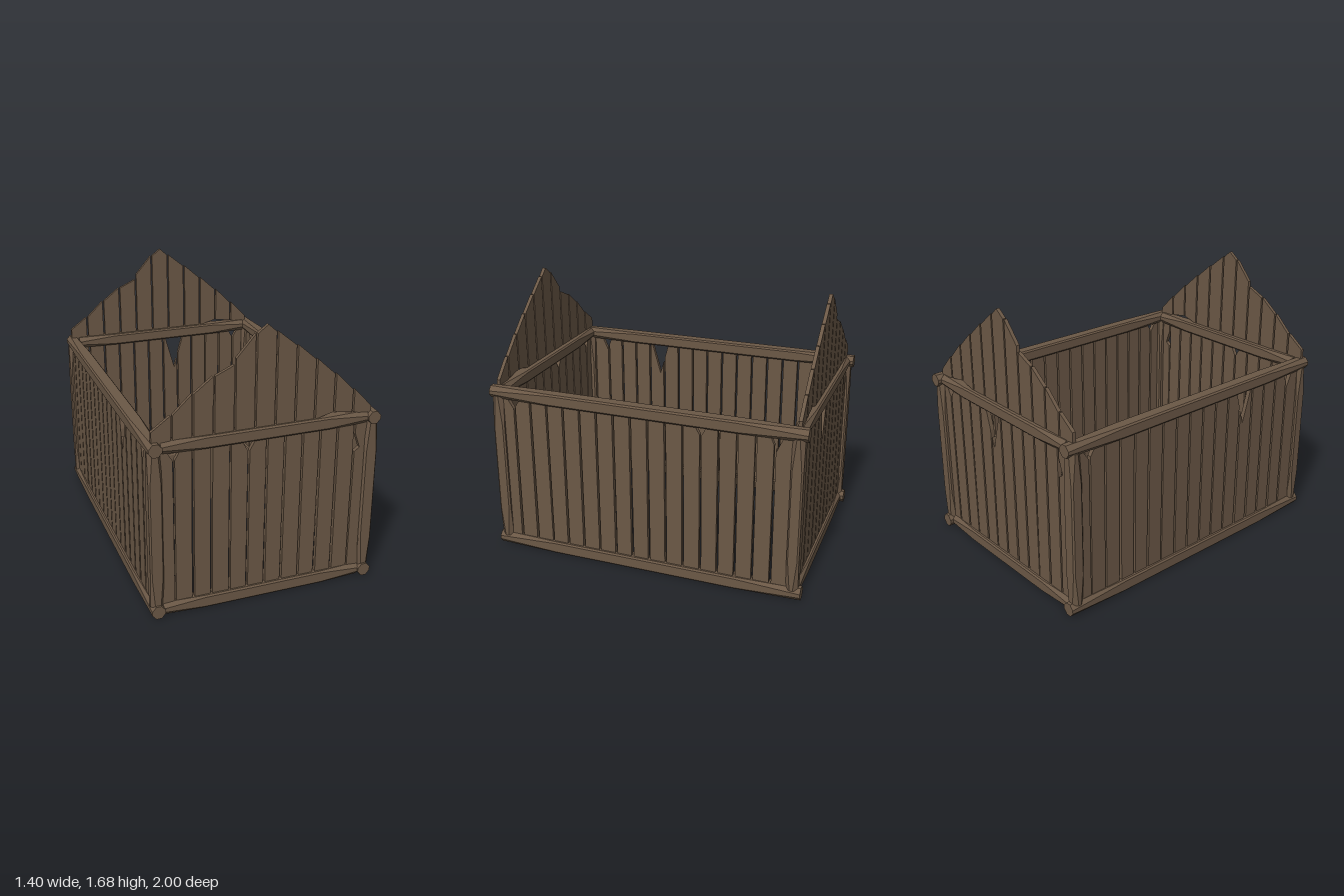
import * as THREE from 'three';

const wood = new THREE.MeshStandardMaterial({ color: 0x6b5846, flatShading: true });

// Small repeatable jitter for the hand-cut plank edges
let seed = 7;
const jitter = (s) => {
  seed = (seed * 16807) % 2147483647;
  return (seed / 2147483647 - 0.5) * s;
};

// Hewn timber along z: octagonal section whose chamfers widen towards both ends
function beam(name, w, h, length) {
  const stations = [[-0.5, 0.028], [-0.3, 0.01], [0.3, 0.01], [0.5, 0.028]];
  const pos = [], index = [];
  for (const [t, c] of stations) {
    const a = w / 2, b = h / 2, k = c * 0.85;
    const ring = [[a, -b + c], [a, b - c], [a - k, b], [-a + k, b],
      [-a, b - c], [-a, -b + c], [-a + k, -b], [a - k, -b]];
    for (const [x, y] of ring) pos.push(x, y, t * length);
  }
  for (let s = 0; s < 3; s++) {
    for (let i = 0; i < 8; i++) {
      const p = s * 8 + i, q = s * 8 + (i + 1) % 8;
      index.push(p, q, q + 8, p, q + 8, p + 8);
    }
  }
  for (let i = 1; i < 7; i++) index.push(0, i + 1, i, 24, 24 + i, 25 + i);
  const g = new THREE.BufferGeometry();
  g.setAttribute('position', new THREE.Float32BufferAttribute(pos, 3));
  g.setIndex(index);
  const flat = g.toNonIndexed();
  flat.computeVertexNormals();
  const mesh = new THREE.Mesh(flat, wood);
  mesh.name = name;
  return mesh;
}

// Flat board from an outline, centred on its thickness
function board(name, outline, thickness) {
  const shape = new THREE.Shape(outline.map(([x, y]) => new THREE.Vector2(x, y)));
  const g = new THREE.ExtrudeGeometry(shape, { depth: thickness, bevelEnabled: false });
  g.translate(0, 0, -thickness / 2);
  const mesh = new THREE.Mesh(g, wood);
  mesh.name = name;
  return mesh;
}

// Row of upright planks; cuts are V notches [centre, half width, lowest y] in the top,
// bites are splits in the left edge of a plank, listed by plank number
function wall(name, start, count, cuts, bites = {}) {
  const group = new THREE.Group();
  group.name = name;
  const pitch = 0.11, gap = 0.006, bottom = 0.05, top = 1.03;
  const topAt = (u) => cuts.reduce(
    (y, [c, hw, low]) => Math.min(y, low + (Math.abs(u - c) / hw) * (top - low)), top);
  for (let i = 0; i < count; i++) {
    const u0 = start + i * pitch + gap, u1 = u0 + pitch - 2 * gap;
    const breaks = cuts.flatMap(([c, hw]) => [c - hw, c, c + hw])
      .filter((u) => u > u0 + 0.001 && u < u1 - 0.001);
    const tops = [u0, ...breaks, u1].sort((a, b) => b - a).map((u) => [u, topAt(u)]);
    const outline = [[u0 + jitter(0.007), bottom], [u1 + jitter(0.007), bottom], ...tops];
    for (const [d, y] of bites[i] || []) outline.push([u0 + d, y]);
    group.add(board('wallPlank', outline, 0.026));
  }
  return group;
}

// Triangular row of planks above an end wall
function gable(name) {
  const group = new THREE.Group();
  group.name = name;
  const tops = [1.155, 1.235, 1.34, 1.425, 1.475, 1.635, 1.635, 1.545, 1.45, 1.35, 1.24, 1.125];
  const lifted = { 8: 1.09, 9: 1.118, 10: 1.1 };
  for (let i = 0; i < 11; i++) {
    const u0 = -0.675 + i * 0.121, u1 = u0 + 0.11;
    const outline = [[u0, lifted[i] ?? 1.07], [u1, lifted[i + 1] ?? 1.07], [u1, tops[i + 1]]];
    if (i === 5) outline.push([-0.01, 1.68]);
    outline.push([u0, i === 4 ? 1.51 : tops[i]]);
    group.add(board('gablePlank', outline, 0.022));
  }
  return group;
}

export function createModel() {
  const model = new THREE.Group();
  model.name = 'plankHouse';
  const place = (part, x, y, z, turn = 0) => {
    part.position.set(x, y, z);
    part.rotation.y = turn;
    model.add(part);
  };

  // Sill and top frames
  for (const [level, y, h] of [['sill', 0.04, 0.08], ['top', 1.056, 0.076]]) {
    for (const side of [-1, 1]) {
      place(beam(level + 'SideBeam', 0.08, h, 2), side * 0.66, y, 0);
      place(beam(level + 'EndBeam', 0.078, h, 1.25), 0, y, side * 0.945 + 0.005, Math.PI / 2);
    }
  }

  // Corner posts
  for (const x of [-0.66, 0.66]) {
    for (const z of [-0.945, 0.95]) {
      const post = beam('cornerPost', 0.08, 0.075, 0.97);
      place(post, x, 0.55, z);
      post.rotation.x = Math.PI / 2;
    }
  }

  // Plank walls
  const bite = { 11: [[0, 0.96], [0.032, 0.87], [0, 0.845]] };
  place(wall('frontWall', -0.66, 12,
    [[-0.11, 0.045, 0.95], [-0.55, 0.04, 0.96]], bite), 0, 0, 0.957);
  place(wall('backWall', -0.66, 12,
    [[-0.085, 0.07, 0.78], [-0.55, 0.04, 0.96]], bite), 0, 0, -0.945, Math.PI);
  place(wall('leftWall', -0.95, 17,
    [[-0.845, 0.045, 0.96], [0.37, 0.04, 0.96], [0.82, 0.04, 0.94]]), 0.667, 0, 0, Math.PI / 2);
  place(wall('rightWall', -0.95, 17,
    [[-0.845, 0.045, 0.96], [0.4, 0.065, 0.8], [0.82, 0.04, 0.94]]), -0.667, 0, 0, -Math.PI / 2);

  // Gables
  place(gable('frontGable'), 0, 0, 0.96);
  place(gable('backGable'), 0, 0, -0.94);
  return model;
}
